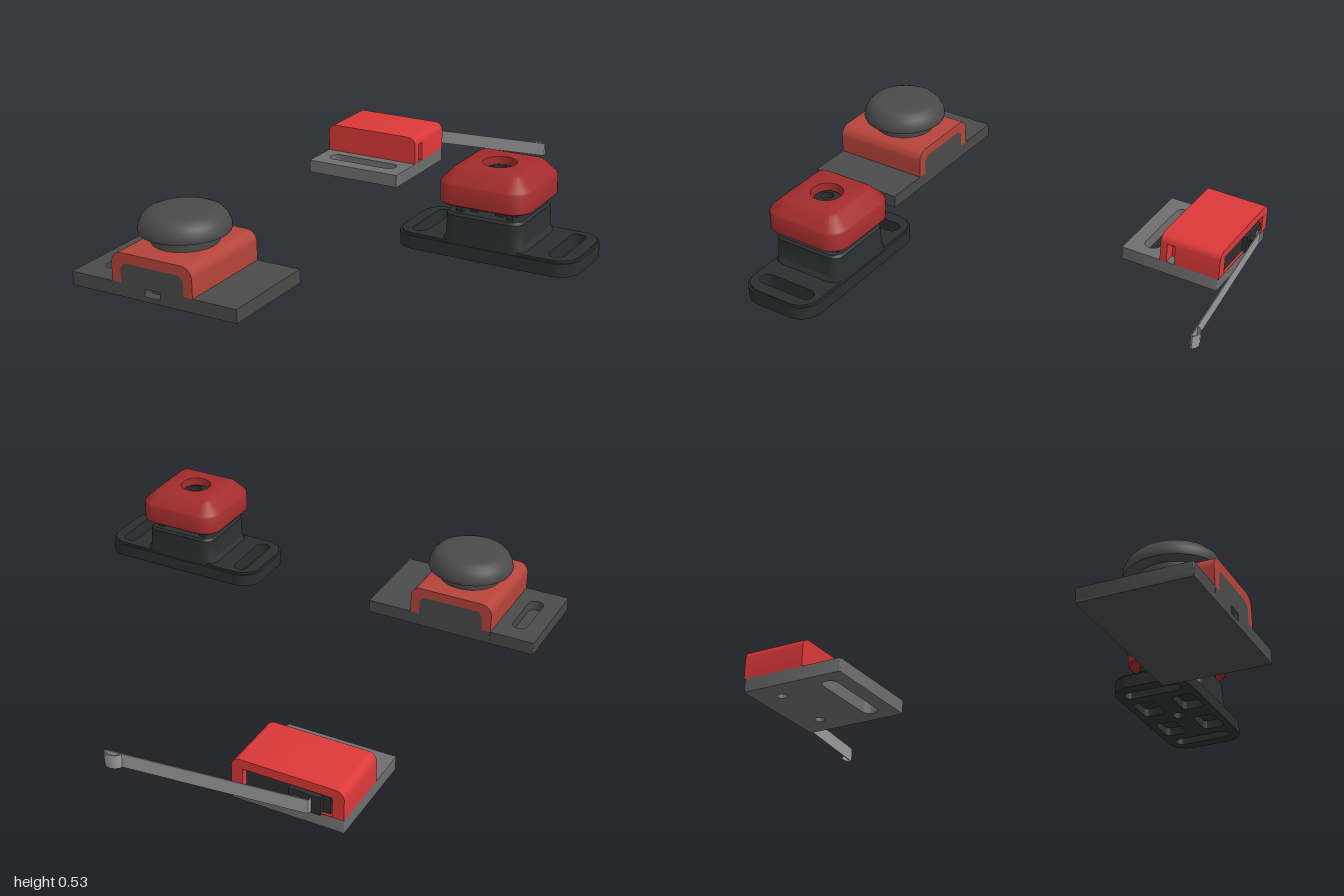
import * as THREE from 'three';
import { toCreasedNormals } from 'three/addons/utils/BufferGeometryUtils.js';

const mat = (color, side = THREE.FrontSide) => new THREE.MeshStandardMaterial({ color, side });
const COL = {
  bumperBase: mat(0x4a4a4a), bumperRed: mat(0xb5443a), switchPlate: mat(0x6e6e6e), switchRed: mat(0xdc3838),
  black: mat(0x2c2e2f), capRed: mat(0xa32c2c), steel: mat(0x9a9a9a, THREE.DoubleSide),
};

function add(group, name, geo, material) {
  const m = new THREE.Mesh(toCreasedNormals(geo, 0.6), material);
  m.name = name;
  group.add(m);
  return m;
}

// Rounded rectangle from its limits; C is THREE.Shape or THREE.Path
function rrect(C, x0, x1, y0, y1, r) {
  const p = new C(), h = Math.PI / 2;
  p.absarc(x1 - r, y0 + r, r, -h, 0);
  p.absarc(x1 - r, y1 - r, r, 0, h);
  p.absarc(x0 + r, y1 - r, r, h, 2 * h);
  p.absarc(x0 + r, y0 + r, r, 2 * h, 3 * h);
  p.closePath();
  return p;
}
// Plan helpers take z limits; the shape's y is -z
const plan = (x0, x1, z0, z1, r, C = THREE.Shape) => rrect(C, x0, x1, -z1, -z0, r);
const hole = (x0, x1, z0, z1, r) => plan(x0, x1, z0, z1, r, THREE.Path);
function slab(shape, y0, y1, holes = []) {
  shape.holes.push(...holes);
  const g = new THREE.ExtrudeGeometry(shape, { depth: y1 - y0, bevelEnabled: false, curveSegments: 10 });
  return g.rotateX(-Math.PI / 2).translate(0, y0, 0);
}
// Section in the xy plane run along z
const prism = (shape, z0, z1) =>
  new THREE.ExtrudeGeometry(shape, { depth: z1 - z0, bevelEnabled: false, curveSegments: 8 }).translate(0, 0, z0);
const box = (x0, x1, y0, y1, z0, z1) =>
  new THREE.BoxGeometry(x1 - x0, y1 - y0, z1 - z0).translate((x0 + x1) / 2, (y0 + y1) / 2, (z0 + z1) / 2);
const poly = (pts) => new THREE.Shape(pts.map(([x, y]) => new THREE.Vector2(x, y)));

// Surface through rounded-square rings [halfX, halfZ, radius, y], from bottom centre to top centre
function loft(rings, cx, cz, k = 8) {
  const pos = [], idx = [], n = 4 * (k + 1);
  rings.forEach(([hx, hz, r, y], j) => {
    for (let q = 0; q < 4; q++) for (let i = 0; i <= k; i++) {
      const t = (q + i / k) * Math.PI / 2;
      const sx = q === 0 || q === 3 ? 1 : -1, sz = q < 2 ? 1 : -1;
      pos.push(cx + sx * (hx - r) + r * Math.cos(t), y, cz - sz * (hz - r) - r * Math.sin(t));
    }
    if (j) for (let i = 0; i < n; i++) {
      const a = (j - 1) * n + i, b = (j - 1) * n + (i + 1) % n;
      idx.push(a, b, b + n, a, b + n, a + n);
    }
  });
  const g = new THREE.BufferGeometry();
  g.setAttribute('position', new THREE.Float32BufferAttribute(pos, 3));
  g.setIndex(idx);
  return g;
}

// Block with rounded upper corners
function archShape(x0, x1, y0, y1, r) {
  const s = new THREE.Shape();
  s.moveTo(x0, y0); s.lineTo(x1, y0); s.lineTo(x1, y1 - r);
  s.absarc(x1 - r, y1 - r, r, 0, Math.PI / 2);
  s.absarc(x0 + r, y1 - r, r, Math.PI / 2, Math.PI);
  s.closePath();
  return s;
}

function bumper() {
  const g = new THREE.Group();
  g.name = 'bumperButton';
  const B = COL.bumperBase;
  // wings on either side of the block, one with a slot
  add(g, 'slottedWing', slab(plan(-0.905, -0.715, 0.58, 1, 0.003), 0.012, 0.055,
    [hole(-0.835, -0.77, 0.665, 0.91, 0.032)]), B);
  add(g, 'wingFloor', box(-0.905, -0.715, 0, 0.012, 0.58, 1), B);
  add(g, 'plainWing', box(-0.355, -0.165, 0, 0.055, 0.58, 1), B);
  // centre block, with a small notch in its front
  const section = () => {
    const s = poly([[-0.715, 0], [-0.355, 0], [-0.355, 0.055], [-0.395, 0.055], [-0.395, 0.115],
      [-0.415, 0.135], [-0.655, 0.135], [-0.675, 0.115], [-0.675, 0.055], [-0.715, 0.055]]);
    return s;
  };
  const front = section();
  front.holes.push(rrect(THREE.Path, -0.568, -0.5, 0.02, 0.05, 0.003));
  add(g, 'centreBlock', prism(section(), 0.58, 0.96), B);
  add(g, 'centreBlockFront', prism(front, 0.96, 1), B);
  // red saddle over the block
  const s = new THREE.Shape();
  s.moveTo(-0.355, 0.055); s.lineTo(-0.355, 0.13);
  s.absarc(-0.4, 0.13, 0.045, 0, Math.PI / 2);
  s.absarc(-0.67, 0.13, 0.045, Math.PI / 2, Math.PI);
  s.lineTo(-0.715, 0.055); s.lineTo(-0.675, 0.055); s.lineTo(-0.675, 0.115); s.lineTo(-0.655, 0.135);
  s.lineTo(-0.415, 0.135); s.lineTo(-0.395, 0.115); s.lineTo(-0.395, 0.055);
  add(g, 'saddle', prism(s, 0.58, 1), COL.bumperRed);
  // mushroom knob
  const profile = [[0.128, 0.17], [0.128, 0.217], [0.165, 0.217], [0.175, 0.221], [0.178, 0.23], [0.174, 0.25],
    [0.162, 0.274], [0.145, 0.291], [0.125, 0.299], [0.1, 0.302], [0, 0.302]];
  add(g, 'knob', new THREE.LatheGeometry(profile.map(([x, y]) => new THREE.Vector2(x, y)), 48)
    .translate(-0.535, 0, 0.783), B);
  return g;
}

function leverSwitch() {
  const g = new THREE.Group();
  g.name = 'leverSwitch';
  const x0 = -0.755, x1 = -0.315;
  add(g, 'mountingPlate', slab(plan(x0, x1, -0.865, -0.44, 0.003), 0.03, 0.085, [
    hole(-0.7, -0.37, -0.568, -0.503, 0.032),
    hole(-0.43, -0.39, -0.777, -0.737, 0.0199), hole(-0.68, -0.64, -0.777, -0.737, 0.0199)]), COL.switchPlate);
  // cover: front wall, a slice notched on one side, then a shell open at the back
  add(g, 'coverFront', prism(archShape(x0, x1, 0.085, 0.205, 0.035), -0.64, -0.61), COL.switchRed);
  const notched = new THREE.Shape();
  notched.moveTo(x0, 0.085); notched.lineTo(x1 - 0.05, 0.085); notched.lineTo(x1 - 0.05, 0.168);
  notched.lineTo(x1, 0.168); notched.absarc(x1 - 0.035, 0.17, 0.035, 0, Math.PI / 2);
  notched.absarc(x0 + 0.035, 0.17, 0.035, Math.PI / 2, Math.PI);
  add(g, 'coverNotch', prism(notched, -0.675, -0.64), COL.switchRed);
  const shell = archShape(x0, x1, 0.085, 0.205, 0.035);
  shell.holes.push(rrect(THREE.Path, -0.71, -0.36, 0.088, 0.168, 0.005));
  add(g, 'coverShell', prism(shell, -0.87, -0.675), COL.switchRed);
  // switch body inside, with the lever pivot
  add(g, 'switchBody', box(-0.7, -0.37, 0.088, 0.16, -0.86, -0.68), COL.black);
  add(g, 'pivotBlock', box(-0.67, -0.545, 0.085, 0.16, -0.88, -0.86), COL.black);
  add(g, 'plunger', box(-0.595, -0.565, 0.1, 0.14, -0.895, -0.88), COL.black);
  // thin strip lever with a curled tip
  const path = [[-0.63, 0.88], [-0.63, 0.892], [0.143, 0.974], [0.145, 0.982], [0.132, 0.993], [0.112, 0.998],
    [0.092, 0.993], [0.08, 0.982], [0.076, 0.972]];
  const back = path.map(([x, y], i) => {
    const a = path[Math.max(i - 1, 0)], b = path[Math.min(i + 1, path.length - 1)];
    const dx = b[0] - a[0], dy = b[1] - a[1], l = Math.hypot(dx, dy);
    return [x - 0.004 * dy / l, y + 0.004 * dx / l];
  }).reverse();
  add(g, 'lever', slab(poly([...path, ...back]), 0.09, 0.147), COL.steel);
  return g;
}

function squareButton() {
  const g = new THREE.Group();
  g.name = 'squareButton';
  const cx = 0.55, cz = 0.36, K = COL.black;
  const outline = (d = 0) => plan(0.195 + d, 0.905 - d, 0.2 + d, 0.517 - d, 0.085 - d);
  const slots = () => [-1, 1].map(s => hole(cx + s * 0.27 - 0.03, cx + s * 0.27 + 0.03, 0.235, 0.478, 0.0299));
  // flange: lower layer holds the moulded pockets underneath
  const pockets = [];
  for (const sx of [-1, 1]) for (const sz of [-1, 1]) {
    const px = cx + sx * 0.115, pz = cz + sz * 0.085;
    pockets.push(hole(px - 0.07, px + 0.07, pz - 0.045, pz + 0.045, 0.02));
  }
  pockets.push(hole(cx - 0.028, cx + 0.028, cz - 0.028, cz + 0.028, 0.0279));
  add(g, 'flangeLower', slab(outline(), 0.2, 0.235, [...slots(), ...pockets]), K);
  add(g, 'flangeUpper', slab(outline(), 0.235, 0.25, slots()), K);
  add(g, 'flangeTopEdge', slab(outline(0.008), 0.25, 0.259, slots()), K);
  // body with a flared foot
  add(g, 'body', loft([[0.001, 0.001, 0.001, 0.24], [0.165, 0.154, 0.05, 0.24], [0.165, 0.154, 0.05, 0.259],
    [0.153, 0.153, 0.045, 0.275], [0.15, 0.15, 0.045, 0.357], [0.142, 0.142, 0.04, 0.366],
    [0.001, 0.001, 0.001, 0.366]], cx, cz), K);
  // neck: side walls, posts and a round core
  for (const s of [-1, 1]) {
    add(g, 'neckWall', box(cx + s * 0.098 - 0.012, cx + s * 0.098 + 0.012, 0.36, 0.405, cz - 0.125, cz + 0.125), K);
    for (const t of [-1, 1])
      add(g, 'neckPost', box(cx + s * 0.05 - 0.015, cx + s * 0.05 + 0.015, 0.36, 0.405,
        cz + t * 0.09 - 0.015, cz + t * 0.09 + 0.015), K);
  }
  add(g, 'neckCore', new THREE.CylinderGeometry(0.06, 0.06, 0.05, 24).translate(cx, 0.382, cz), K);
  // bevelled cap with a screw well
  add(g, 'cap', loft([[0.001, 0.001, 0.001, 0.4], [0.17, 0.168, 0.07, 0.4], [0.177, 0.175, 0.075, 0.406],
    [0.177, 0.175, 0.075, 0.475], [0.172, 0.17, 0.07, 0.483], [0.13, 0.125, 0.03, 0.525], [0.122, 0.117, 0.022, 0.53],
    [0.062, 0.062, 0.062, 0.53], [0.06, 0.06, 0.06, 0.475], [0.001, 0.001, 0.001, 0.475]], cx, cz), COL.capRed);
  const screw = [[0.059, 0.47], [0.059, 0.49], [0.05, 0.504], [0.025, 0.512], [0.024, 0.49], [0, 0.49]];
  add(g, 'screw', new THREE.LatheGeometry(screw.map(([x, y]) => new THREE.Vector2(x, y)), 24)
    .translate(cx, 0, cz), K);
  return g;
}

export function createModel() {
  const model = new THREE.Group();
  model.name = 'buttonSet';
  model.add(bumper(), leverSwitch(), squareButton());
  return model;
}
